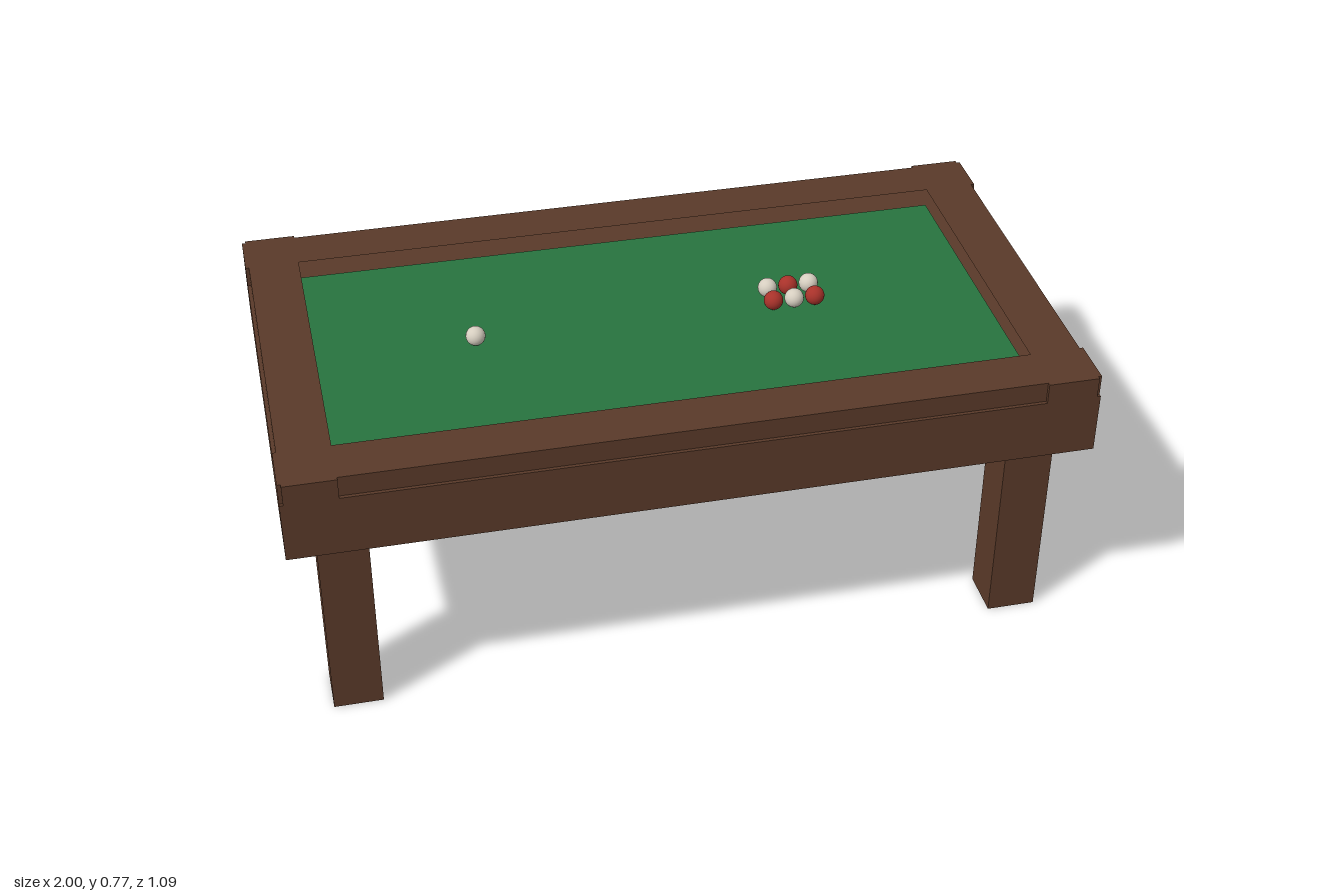
import * as THREE from 'three';

export function createModel() {
  const model = new THREE.Group();
  const paint = (color) => new THREE.MeshStandardMaterial({ color });
  const wood = paint(0x5a3a29), felt = paint(0x27733f);
  const red = paint(0xa8322a), ivory = paint(0xd6cec0);

  const add = (name, geometry, material, x, y, z) => {
    const mesh = new THREE.Mesh(geometry, material);
    mesh.name = name;
    mesh.position.set(x, y, z);
    model.add(mesh);
    return mesh;
  };

  // Table body
  const W = 1, D = 0.545, bodyBottom = 0.55, ledge = 0.71, top = 0.764;
  add('tableBody', new THREE.BoxGeometry(2 * W, ledge - bodyBottom, 2 * D), wood,
    0, (ledge + bodyBottom) / 2, 0);

  // Raised rim: rails set back slightly between the corner blocks, each corner notched
  const ix = 0.862, iz = 0.41, s = 0.009;
  const quarter = [[ix, D - s], [ix, D], [W - s, D], [W - s, D - s], [W, D - s], [W, iz], [W - s, iz]];
  const mirrored = (sx, sy) => quarter.map(([x, y]) => new THREE.Vector2(x * sx, y * sy));
  const rim = new THREE.Shape([
    ...mirrored(1, 1), ...mirrored(1, -1).reverse(),
    ...mirrored(-1, -1), ...mirrored(-1, 1).reverse(),
  ]);
  rim.holes.push(new THREE.Path([[-ix, -iz], [-ix, iz], [ix, iz], [ix, -iz]]
    .map(([x, y]) => new THREE.Vector2(x, y))));
  const rimGeometry = new THREE.ExtrudeGeometry(rim, { depth: top - ledge, bevelEnabled: false });
  rimGeometry.rotateX(-Math.PI / 2);
  add('rim', rimGeometry, wood, 0, ledge, 0);

  // Playing cloth
  const clothTop = 0.716;
  add('cloth', new THREE.BoxGeometry(2 * ix, 0.012, 2 * iz), felt, 0, clothTop - 0.006, 0);

  // Legs
  const leg = new THREE.BoxGeometry(0.125, bodyBottom, 0.125);
  for (const sx of [-1, 1]) {
    for (const sz of [-1, 1]) add('leg', leg, wood, sx * 0.863, bodyBottom / 2, sz * 0.41);
  }

  // Balls: a single cue ball and a rack of six in alternating colours
  const r = 0.025;
  const ball = new THREE.SphereGeometry(r, 24, 16);
  add('cueBall', ball, ivory, -0.458, clothTop + r, -0.003);
  for (let row = 0; row < 2; row++) {
    for (let col = 0; col < 3; col++) {
      add('ball', ball, (row + col) % 2 ? ivory : red,
        0.315 + col * 0.055, clothTop + r + 0.003, 0.006 - row * 0.062);
    }
  }
  return model;
}
